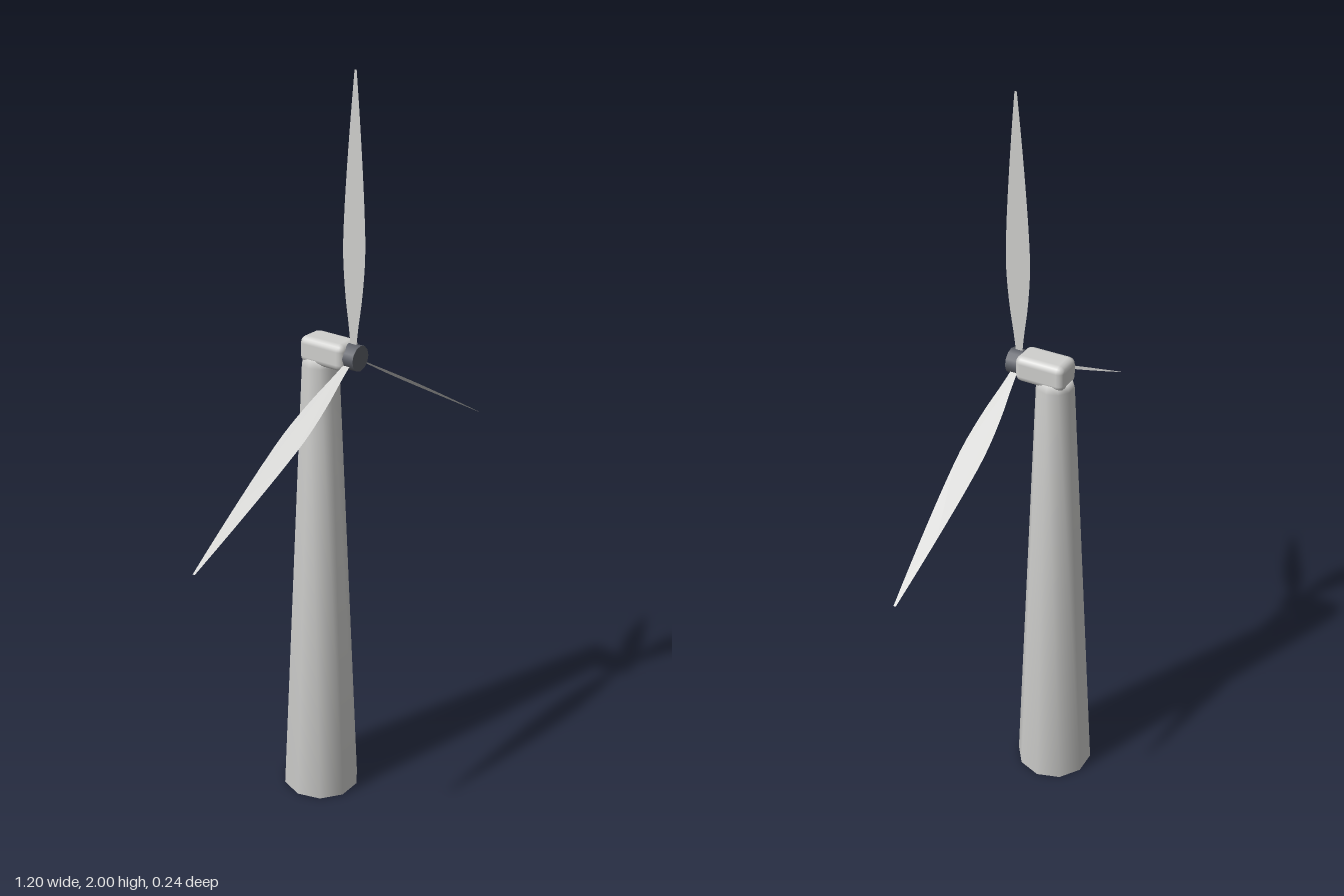
import * as THREE from 'three';
import { RoundedBoxGeometry } from 'three/addons/geometries/RoundedBoxGeometry.js';

const HUB_Y = 1.305;
const HUB_Z = 0.086;

export function createModel() {
  const model = new THREE.Group();
  model.name = 'windTurbine';

  const paint = new THREE.MeshStandardMaterial({ color: 0xcfcfcd });
  paint.name = 'lightGrey';
  const bladePaint = new THREE.MeshStandardMaterial({ color: 0xcfcfcd, side: THREE.DoubleSide });
  bladePaint.name = 'lightGreyBlade';
  const dark = new THREE.MeshStandardMaterial({ color: 0x5c5f67 });
  dark.name = 'darkGrey';

  const add = (parent, name, geometry, material, x, y, z) => {
    const mesh = new THREE.Mesh(geometry, material);
    mesh.name = name;
    mesh.position.set(x, y, z);
    parent.add(mesh);
    return mesh;
  };

  // Ten-sided tapering tower, softly shaded into its caps
  const profile = [[0, 0], [0.107, 0], [0.049, 1.265], [0.043, 1.284], [0, 1.284]]
    .map(([r, y]) => new THREE.Vector2(r, y));
  add(model, 'tower', new THREE.LatheGeometry(profile, 10, Math.PI / 2), paint, 0, 0, -0.016);

  // Nacelle housing with softened edges
  add(model, 'nacelle', new RoundedBoxGeometry(0.08, 0.07, 0.136, 2, 0.018), paint, 0, HUB_Y, 0.012);

  // Rotor: hub and three flat blades turned edge-on to the front
  const rotor = new THREE.Group();
  rotor.name = 'rotor';
  rotor.position.set(0, HUB_Y, HUB_Z);
  model.add(rotor);

  const hub = new THREE.CylinderGeometry(0.033, 0.033, 0.036, 12).rotateX(Math.PI / 2);
  add(rotor, 'hub', hub, dark, 0, 0, 0.004);

  // Half width of a blade at each distance from the hub
  const edge = new THREE.SplineCurve([
    [0.008, 0.02], [0.015, 0.08], [0.026, 0.16], [0.033, 0.26],
    [0.03, 0.36], [0.022, 0.48], [0.012, 0.6], [0.003, 0.695],
  ].map(([w, r]) => new THREE.Vector2(w, r))).getPoints(20);
  const outline = [...edge, ...edge.map((p) => new THREE.Vector2(-p.x, p.y)).reverse()];
  const blade = new THREE.ShapeGeometry(new THREE.Shape(outline)).rotateY(Math.PI / 2);

  for (let i = 0; i < 3; i++) {
    add(rotor, `blade${i + 1}`, blade, bladePaint, 0, 0, 0).rotation.z = (i * 2 * Math.PI) / 3;
  }

  return model;
}
